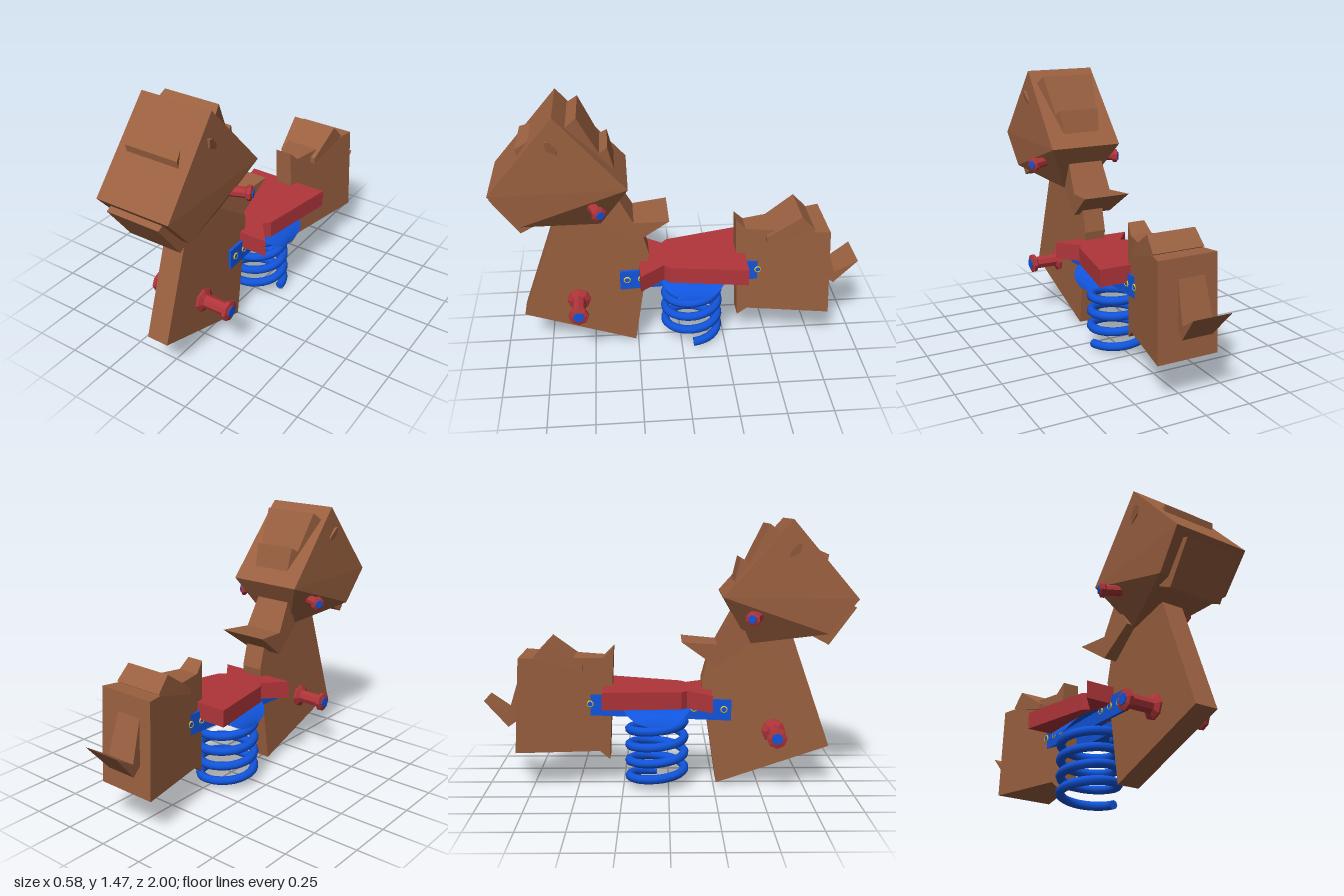
import * as THREE from 'three';

const mat = (color, flat = true) =>
  new THREE.MeshStandardMaterial({ color, flatShading: flat, side: THREE.DoubleSide });
const wood = mat(0x9a6040), red = mat(0xb0353a), blue = mat(0x1155dd);
const smoothBlue = mat(0x1155dd, false), yellow = mat(0xd8c040);

function add(parent, name, geometry, material) {
  const mesh = new THREE.Mesh(geometry, material);
  mesh.name = name;
  parent.add(mesh);
  return mesh;
}

// Board cut from a (z, y) side profile; half(z, y) is its half thickness along x
function slab(profile, half, offset = 0) {
  const shape = new THREE.Shape(profile.map(p => new THREE.Vector2(p[0], p[1])));
  const g = new THREE.ExtrudeGeometry(shape, { depth: 1, bevelEnabled: false });
  const p = g.attributes.position;
  for (let i = 0; i < p.count; i++) {
    const z = p.getX(i), y = p.getY(i), t = p.getZ(i);
    const w = typeof half === 'function' ? half(z, y) : half;
    p.setXYZ(i, (1 - 2 * t) * w + offset, y, z);
  }
  g.computeVertexNormals();
  return g;
}

// Straight line through (z0, w0) and (z1, w1)
const ramp = (z, z0, w0, z1, w1) => w0 + (z - z0) * (w1 - w0) / (z1 - z0);

// Eight-sided grip with a flange at both ends and a blue core showing at the tip
function grip(parent, name, from, to, r, baseR, tipR) {
  const dir = to.clone().sub(from), len = dir.length();
  const group = new THREE.Group();
  group.name = name;
  group.position.copy(from);
  group.quaternion.setFromUnitVectors(new THREE.Vector3(0, 1, 0), dir.normalize());
  const profile = [[baseR, 0], [baseR, 0.014], [r, 0.03], [r, len - 0.04],
    [tipR, len - 0.03], [tipR, len - 0.012], [r * 0.8, len - 0.005]];
  add(group, 'sleeve', new THREE.LatheGeometry(profile.map(p => new THREE.Vector2(p[0], p[1])), 8), red);
  add(group, 'core', new THREE.CylinderGeometry(r * 0.8, r * 0.8, len, 8).translate(0, len / 2, 0), blue);
  parent.add(group);
}

// Rising helix of the spring
class Helix extends THREE.Curve {
  getPoint(t, target = new THREE.Vector3()) {
    const a = t * Math.PI * 2 * 4;
    return target.set(-0.02 + 0.153 * Math.cos(a), 0.03 + 0.36 * t, -0.065 - 0.153 * Math.sin(a));
  }
}

export function createModel() {
  const model = new THREE.Group();
  model.name = 'springRider';

  // Front body board
  add(model, 'neckBoard', slab([[0.89, 0.23], [0.265, 0.02], [0.18, 0.6], [0.22, 0.75],
    [0.4, 0.92], [0.65, 0.92]], 0.062), wood);

  // Head: wide upper block, underside narrowing to the neck
  const head = new THREE.Group();
  head.name = 'head';
  model.add(head);
  add(head, 'skull', slab([[0.646, 1.48], [1, 1.065], [0.845, 0.88], [0.287, 1.075]],
    (z, y) => (y > 1.2 || y < 1 ? 0.202 : 0.21)), wood);
  add(head, 'jaw', slab([[0.845, 0.88], [0.437, 0.81], [0.287, 1.075]],
    (z, y) => (y < 0.85 ? 0.075 : y < 1 ? 0.202 : 0.21)), wood);
  add(head, 'chin', slab([[0.97, 1.03], [1, 1.015], [0.855, 0.815], [0.77, 0.86], [0.8, 0.95]], 0.152), wood);
  add(head, 'brow', slab([[0.835, 1.255], [0.843, 1.295], [0.775, 1.325], [0.76, 1.28]],
    (z, y) => (y > 1.31 ? 0.12 : 0.15)), wood);
  add(head, 'eyes', slab([[0.69, 1.36], [0.67, 1.355], [0.63, 1.31], [0.63, 1.28], [0.685, 1.31]],
    (z, y) => ramp(y, 1.28, 0.208, 1.36, 0.222)), wood);
  add(head, 'foreheadTuft', slab([[0.59, 1.41], [0.53, 1.455], [0.425, 1.25], [0.383, 1.275],
    [0.35, 1.14], [0.42, 1.16]], z => ramp(z, 0.35, 0.11, 0.58, 0.17)), wood);

  // Mane running down behind the head and flicking out
  add(model, 'mane', slab([[0.36, 1.0], [0.44, 0.82], [0.26, 0.69], [0.07, 0.83], [0.26, 0.815]],
    z => ramp(z, 0.07, 0.138, 0.3, 0.11), -0.02), wood);

  // Rear board, thicker toward the back
  add(model, 'rearBoard', slab([[-0.3, 0.785], [-0.355, 0.73], [-0.805, 0.745], [-0.83, 0.225],
    [-0.38, 0.205], [-0.325, 0.155]], z => ramp(z, -0.3, 0.048, -0.83, 0.172)), wood);
  add(model, 'rumpTuft', slab([[-0.465, 0.7], [-0.65, 0.83], [-0.725, 0.75], [-0.7, 0.735],
    [-0.465, 0.665]], z => ramp(z, -0.465, 0.115, -0.725, 0.145)), wood);
  add(model, 'tail', slab([[-0.81, 0.64], [-0.875, 0.425], [-1, 0.505], [-0.875, 0.355], [-0.81, 0.4]],
    z => ramp(z, -0.81, 0.075, -1, 0.108), -0.02), wood);

  // Seat: tapers forward to a waist, then flares; tilted up toward the back
  const outline = [[0.24, -0.355], [0.155, 0.07], [0.12, 0.1], [0.225, 0.235]];
  const pts = [...outline, ...outline.map(([x, z]) => [-x, z]).reverse()];
  const seat = new THREE.ExtrudeGeometry(
    new THREE.Shape(pts.map(([x, z]) => new THREE.Vector2(x, -z))),
    { depth: 0.095, bevelEnabled: false });
  seat.rotateX(-Math.PI / 2);
  const sp = seat.attributes.position;
  for (let i = 0; i < sp.count; i++) sp.setY(i, sp.getY(i) + ramp(sp.getZ(i), 0.235, 0.457, -0.355, 0.478));
  seat.computeVertexNormals();
  add(model, 'seat', seat, red);

  // Spring with capped ends
  const helix = new Helix();
  add(model, 'spring', new THREE.TubeGeometry(helix, 128, 0.025, 8), smoothBlue);
  for (const t of [0, 1]) {
    const cap = add(model, 'springEnd', new THREE.CircleGeometry(0.025, 8), blue);
    cap.position.copy(helix.getPoint(t));
    cap.lookAt(cap.position.clone().add(helix.getTangent(t).multiplyScalar(t ? 1 : -1)));
  }

  // Round plate bent down at both sides over the spring
  const plate = new THREE.RingGeometry(0.001, 0.2, 32, 6).rotateX(-Math.PI / 2);
  const pp = plate.attributes.position;
  for (let i = 0; i < pp.count; i++) {
    const bend = pp.getX(i) / 0.2 * Math.PI / 2;
    pp.setX(i, 0.2 * Math.sin(bend));
    pp.setY(i, 0.37 + 0.1 * Math.cos(bend));
  }
  plate.computeVertexNormals();
  add(model, 'springPlate', plate.translate(0.003, 0, -0.065), smoothBlue);

  // Connecting bars with bolts, pegs and handles on both sides
  const bar = [[0.345, 0.38], [0.345, 0.495], [-0.455, 0.53], [-0.455, 0.413]];
  for (const s of [1, -1]) {
    add(model, 'bar', slab(bar, 0.008, s * 0.07), blue);
    for (const z of [0.305, 0.225, 0.14, -0.27, -0.345, -0.43]) {
      const y = ramp(z, 0.305, 0.443, -0.43, 0.475);
      add(model, 'boltRing', new THREE.TorusGeometry(0.016, 0.005, 4, 10)
        .rotateY(Math.PI / 2).translate(s * 0.08, y, z), yellow);
      add(model, 'bolt', new THREE.CylinderGeometry(0.014, 0.014, 0.01, 8)
        .rotateZ(Math.PI / 2).translate(s * 0.078, y, z), blue);
    }
    grip(model, 'footPeg', new THREE.Vector3(s * 0.058, 0.32, 0.58),
      new THREE.Vector3(s * 0.247, 0.32, 0.58), 0.038, 0.067, 0.056);
    grip(model, 'handle', new THREE.Vector3(s * 0.12, 0.975, 0.5),
      new THREE.Vector3(s * 0.282, 0.97, 0.43), 0.028, 0.042, 0.04);
  }
  return model;
}
